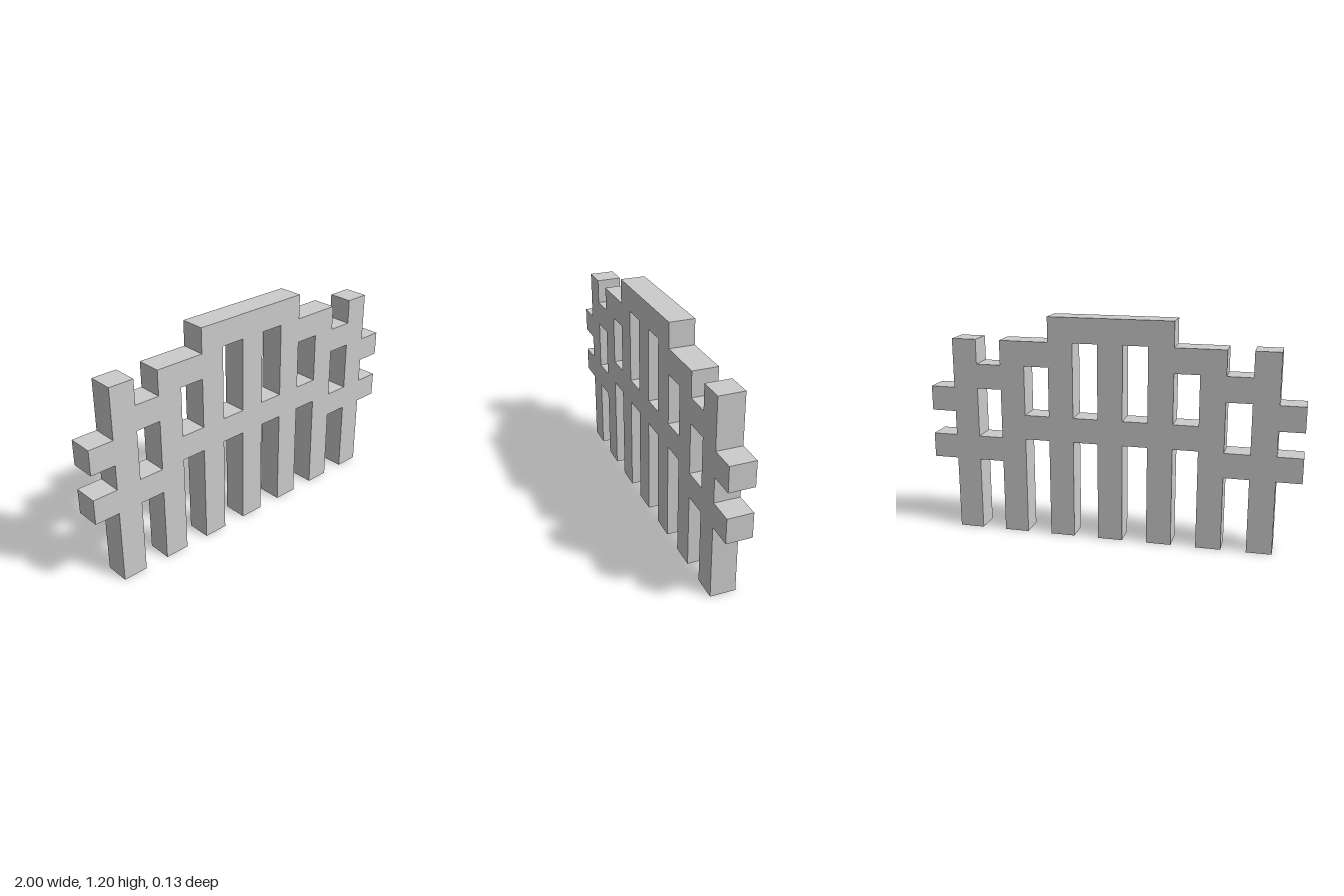
import * as THREE from 'three';

// The fence sits on a regular grid: 15 cells wide, 9 high, 1 deep.
const U = 2 / 15;

export function createModel() {
  const fence = new THREE.Group();
  fence.name = 'fence';
  const grey = new THREE.MeshStandardMaterial({ color: 0xcccccc });
  grey.name = 'grey';

  // Box centred on grid column `col` (0 = middle), from row `row` upwards.
  function block(name, col, row, height) {
    const mesh = new THREE.Mesh(new THREE.BoxGeometry(U, height * U, U), grey);
    mesh.position.set(col * U, (row + height / 2) * U, 0);
    mesh.name = name;
    fence.add(mesh);
  }

  // Upright posts, stepping up towards the middle.
  block('middlePost', 0, 0, 9);
  for (const side of [1, -1]) {
    const label = side > 0 ? 'left' : 'right';
    for (const [col, height] of [[2, 9], [4, 8], [6, 8]]) {
      block(`${label}Post`, side * col, 0, height);
    }
    // Rail pieces between and beyond the posts: column, lower row, upper row.
    for (const [col, lower, upper] of [[1, 4, 8], [3, 4, 7], [5, 3, 6], [7, 3, 5]]) {
      block(`${label}LowerRail`, side * col, lower, 1);
      block(`${label}UpperRail`, side * col, upper, 1);
    }
  }
  return fence;
}
